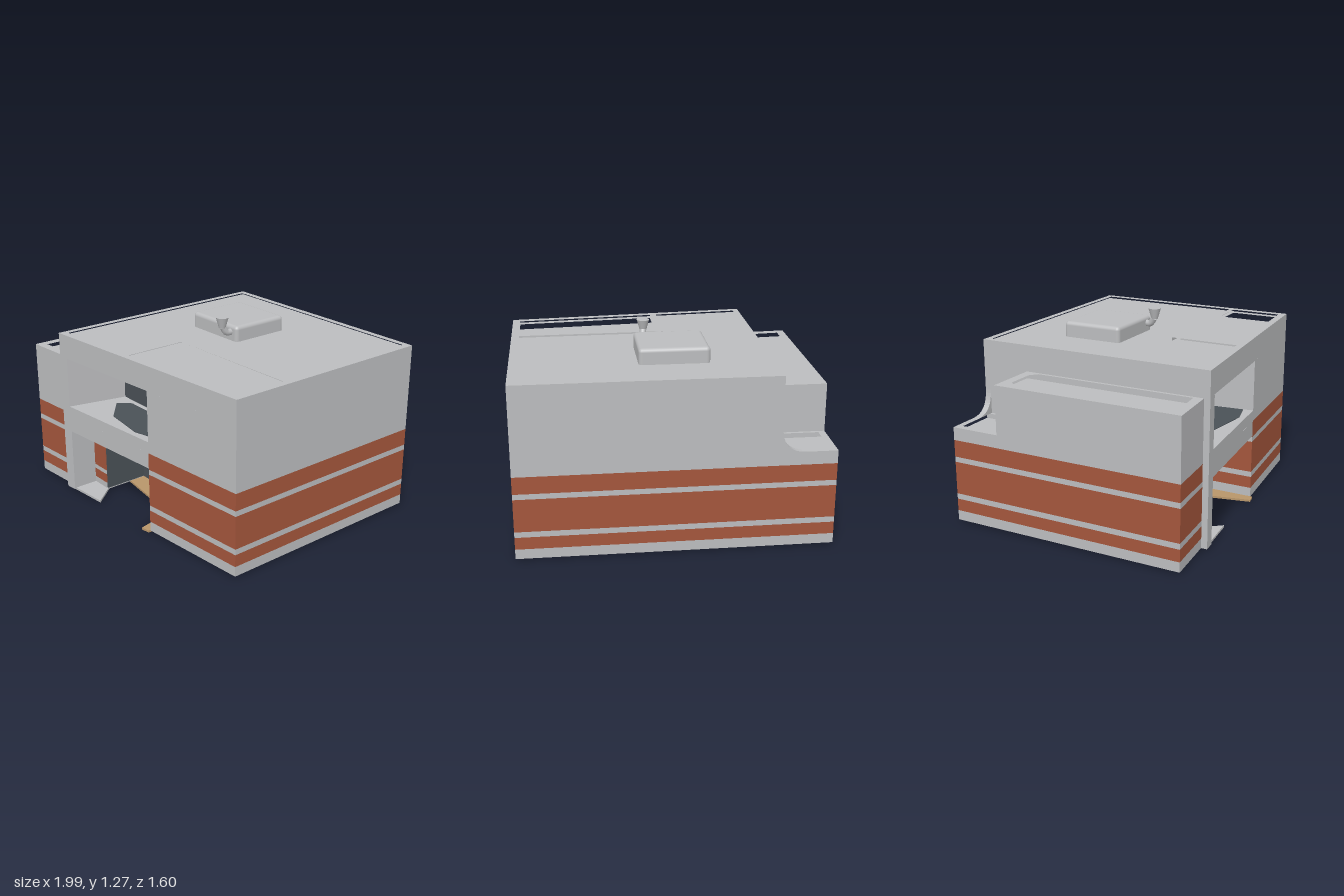
import * as THREE from 'three';
import { RoundedBoxGeometry } from 'three/addons/geometries/RoundedBoxGeometry.js';

export function createModel() {
  const model = new THREE.Group();
  model.name = 'building';
  const mat = (name, color) => {
    const m = new THREE.MeshStandardMaterial({ color });
    m.name = name;
    return m;
  };
  const grey = mat('wall grey', 0xbcbdbf);
  const orange = mat('stripe orange', 0xa4563c);
  const slate = mat('glass slate', 0x4a5157);
  const sand = mat('floor sand', 0xb8956a);

  const add = (name, geometry, material) => {
    const mesh = new THREE.Mesh(geometry, material);
    mesh.name = name;
    model.add(mesh);
    return mesh;
  };
  const vectors = (points) => points.map(([x, z]) => new THREE.Vector2(x, -z));

  // Extrudes a floor plan of [x, z] corners from y0 up to y1
  const slab = (name, plan, y0, y1, material, holes = []) => {
    const shape = new THREE.Shape(vectors(plan));
    holes.forEach((h) => shape.holes.push(new THREE.Path(vectors(h))));
    const g = new THREE.ExtrudeGeometry(shape, { depth: y1 - y0, bevelEnabled: false });
    g.rotateX(-Math.PI / 2);
    g.translate(0, y0, 0);
    return add(name, g, material);
  };
  const rect = (x0, x1, z0, z1) => [[x0, z0], [x1, z0], [x1, z1], [x0, z1]];

  // Horizontal stripes, alternating grey and orange from the ground up
  const levels = [0.01, 0.075, 0.155, 0.192, 0.408, 0.443, 0.555];
  const stripes = (name, plan, scale) => {
    for (let i = 0; i < levels.length - 1; i++) {
      const bottom = i ? levels[i] * scale : levels[0];
      slab(name, plan, bottom, levels[i + 1] * scale, i % 2 ? orange : grey);
    }
  };

  // Striped ground storey, open at the entrance
  stripes('groundStorey', [[-1, -0.8], [0.99, -0.8], [0.99, 0.66], [0.23, 0.725],
    [0.23, 0.3], [-0.65, 0.3], [-0.65, 0.76], [-1, 0.785]], 1);
  stripes('entrancePier', rect(-0.57, -0.43, 0.3, 0.62), 0.81);
  slab('pierSideGlass', rect(-0.43, -0.425, 0.3, 0.615), 0.02, 0.45, slate);

  // Entrance frame, glass and floor
  slab('entranceColumn', [[-0.65, 0.3], [-0.57, 0.3], [-0.57, 0.793], [-0.65, 0.8]], 0.01, 0.45, grey);
  slab('entranceLintel', [[-0.65, 0.3], [0.23, 0.3], [0.23, 0.725], [-0.65, 0.8]], 0.45, 0.555, grey);
  slab('entranceGlass', rect(-0.43, 0.23, 0.3, 0.308), 0.015, 0.45, slate);
  slab('entranceFloor', [[-0.45, 0.27], [0.23, 0.27], [0.23, 0.74], [0.17, 0.75],
    [0.1, 0.42], [-0.07, 0.47], [-0.45, 0.42]], 0, 0.014, sand);
  slab('doorstep', [[-0.6, 0.5], [-0.5, 0.52], [-0.3, 0.76], [-0.6, 0.785]], 0.005, 0.02, grey);

  // Main upper storey with a balcony whose side walls are splayed
  const main = [[-0.65, -0.8], [0.99, -0.8], [0.99, 0.66], [-0.65, 0.8]];
  slab('balconyParapet', main, 0.555, 0.63, grey);
  slab('upperStorey', [[-0.65, -0.8], [0.99, -0.8], [0.99, 0.66], [0.23, 0.725],
    [0.2, 0.4], [-0.49, 0.4], [-0.575, 0.794], [-0.65, 0.8]], 0.63, 0.97, grey);
  slab('balconyFloorInlay', [[-0.35, 0.44], [0.19, 0.44], [0.21, 0.66], [0.05, 0.7],
    [-0.25, 0.66], [-0.42, 0.52]], 0.63, 0.634, slate);

  // Balcony window with clipped corners
  const pane = new THREE.Shape();
  pane.moveTo(-0.48, 0.635).lineTo(0.185, 0.635).lineTo(0.185, 0.9);
  pane.quadraticCurveTo(0.185, 0.945, 0.14, 0.945);
  pane.lineTo(-0.42, 0.945).quadraticCurveTo(-0.48, 0.945, -0.48, 0.88);
  const paneGeometry = new THREE.ExtrudeGeometry(pane, { depth: 0.008, bevelEnabled: false });
  add('balconyWindow', paneGeometry.translate(0, 0, 0.4), slate);

  // Main roof with a sunken terrace and a low rim
  const terrace = [[0.01, 0.29], [0.94, 0.27], [0.94, 0.615], [0.01, 0.695]];
  const roofWell = [[-0.61, -0.76], [0.945, -0.76], [0.945, 0.235], [-0.035, 0.25],
    [-0.035, 0.7], [-0.61, 0.75]];
  slab('roofBase', main, 0.97, 1.06, grey);
  slab('roofDeck', main, 1.06, 1.11, grey, [terrace]);
  slab('roofRim', main, 1.11, 1.132, grey, [roofWell, terrace]);

  // Lower side wing and its roof rim
  const wing = [[-1, -0.47], [-0.65, -0.47], [-0.65, 0.76], [-1, 0.785]];
  slab('wing', wing, 0.555, 0.915, grey);
  slab('wingRim', wing, 0.915, 0.96, grey,
    [[[-0.945, -0.36], [-0.9, -0.41], [-0.72, -0.41], [-0.67, -0.37], [-0.67, 0.7], [-0.945, 0.725]]]);

  // Small rear deck beside the wing
  const deck = rect(-1, -0.65, -0.8, -0.47);
  slab('rearDeck', deck, 0.555, 0.6, grey);
  slab('rearDeckRim', deck, 0.6, 0.64, grey, [rect(-0.955, -0.67, -0.76, -0.49)]);
  const fillet = new THREE.Shape();
  fillet.moveTo(-0.65, 0.64).lineTo(-0.65, 0.8);
  fillet.quadraticCurveTo(-0.65, 0.64, -0.8, 0.64);
  const filletGeometry = new THREE.ExtrudeGeometry(fillet, { depth: 0.04, bevelEnabled: false });
  add('rearDeckFillet', filletGeometry.translate(0, 0, -0.8), grey);

  // Rooftop unit and its flared vent
  add('rooftopUnit', new RoundedBoxGeometry(0.45, 0.13, 0.41, 3, 0.025), grey)
    .position.set(-0.035, 1.147, -0.225);
  const elbow = new THREE.CatmullRomCurve3([
    new THREE.Vector3(0.13, 1.17, -0.05),
    new THREE.Vector3(0.125, 1.17, 0.01),
    new THREE.Vector3(0.12, 1.21, 0.038),
  ]);
  add('ventElbow', new THREE.TubeGeometry(elbow, 10, 0.022, 10), grey);
  add('ventFlare', new THREE.CylinderGeometry(0.042, 0.022, 0.07, 14), grey)
    .position.set(0.12, 1.24, 0.042);

  return model;
}
